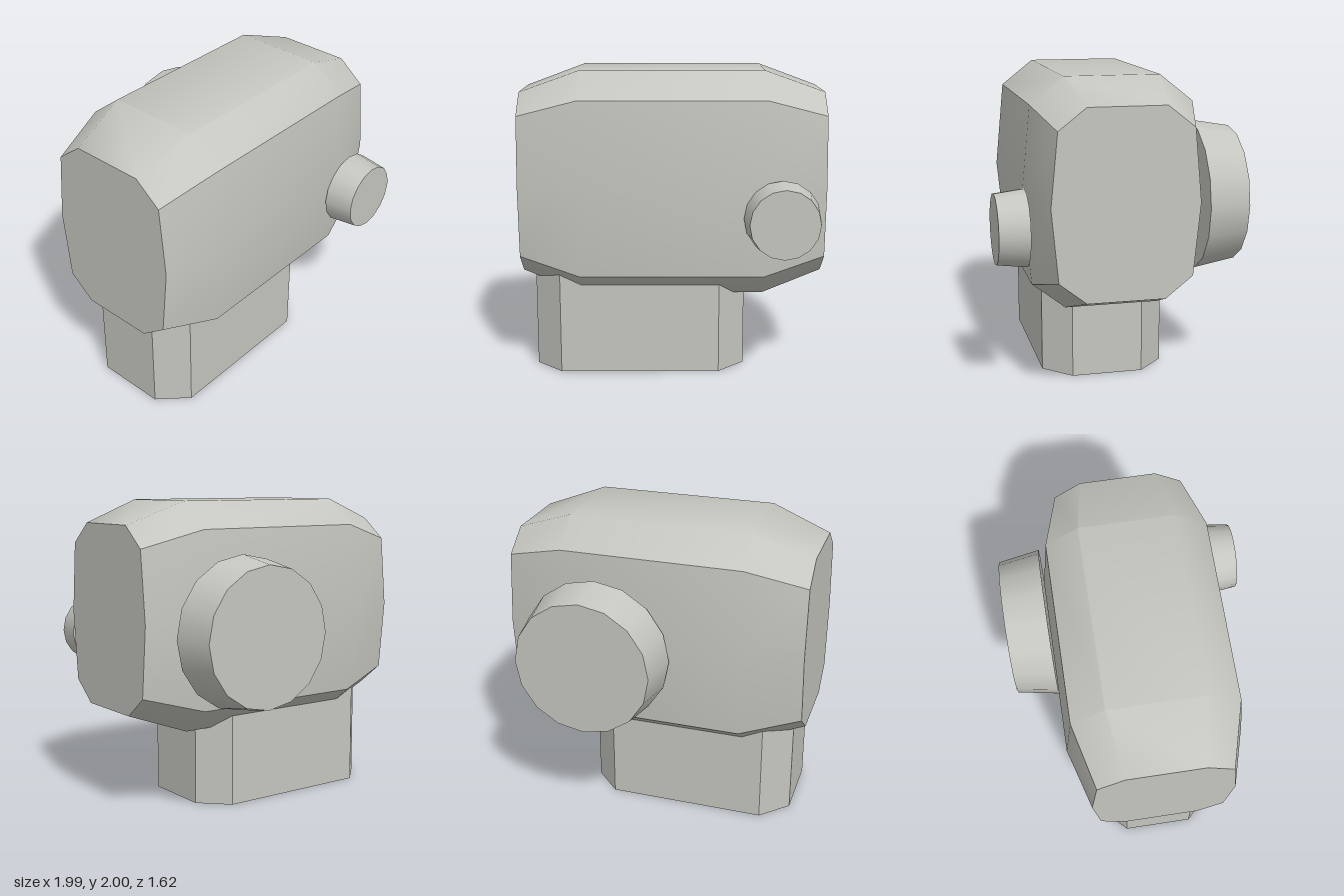
import * as THREE from 'three';
import { toCreasedNormals } from 'three/addons/utils/BufferGeometryUtils.js';

const grey = new THREE.MeshStandardMaterial({ color: 0xc6c6c0 });
grey.name = 'light grey';

function addPart(group, name, geometry, x = 0, y = 0, z = 0) {
  const mesh = new THREE.Mesh(geometry, grey);
  mesh.name = name;
  mesh.position.set(x, y, z);
  group.add(mesh);
}

// Ten-sided section lofted along x, smaller at both ends, with flat caps
function bodyGeometry() {
  const quarter = [[0.305, 0.74], [0.52, 0.57], [0.575, 0]];
  const front = [...quarter, [0.52, -0.57], [0.305, -0.74]];
  const profile = [...front, ...front.map(([z, y]) => [-z, -y])];
  const n = profile.length;
  const stations = [[-0.995, 0.806], [-0.6, 1], [0.6, 1], [0.995, 0.806]];
  const positions = [];
  const index = [];
  for (const [x, s] of stations) {
    for (const [z, y] of profile) positions.push(x, y * s, z * s);
  }
  for (let i = 0; i < stations.length - 1; i++) {
    for (let j = 0; j < n; j++) {
      const a = i * n + j, c = i * n + (j + 1) % n;
      index.push(a, c, a + n, c, c + n, a + n);
    }
  }
  const last = (stations.length - 1) * n;
  for (let j = 1; j < n - 1; j++) {
    index.push(0, j + 1, j, last, last + j, last + j + 1);
  }
  const geometry = new THREE.BufferGeometry();
  geometry.setAttribute('position', new THREE.Float32BufferAttribute(positions, 3));
  geometry.setIndex(index);
  return toCreasedNormals(geometry, 0.735);
}

// Upright block with chamfered vertical corners
function baseGeometry(width, depth, height, chamfer) {
  const w = width / 2, d = depth / 2, c = chamfer;
  const shape = new THREE.Shape([
    [w - c, -d], [w, -d + c], [w, d - c], [w - c, d],
    [-w + c, d], [-w, d - c], [-w, -d + c], [-w + c, -d],
  ].map(([x, y]) => new THREE.Vector2(x, y)));
  return new THREE.ExtrudeGeometry(shape, { depth: height, bevelEnabled: false }).rotateX(-Math.PI / 2);
}

// Tapered round knob pointing along z (direction 1 = front, -1 = back)
function knobGeometry(tip, root, length, direction) {
  return new THREE.CylinderGeometry(tip, root, length, 16).rotateX(direction * Math.PI / 2);
}

export function createModel() {
  const group = new THREE.Group();
  group.name = 'model';
  addPart(group, 'body', bodyGeometry(), 0, 1.26, 0.045);
  addPart(group, 'base', baseGeometry(1.4, 0.82, 0.75, 0.175), -0.215, 0, 0.045);
  addPart(group, 'frontKnob', knobGeometry(0.222, 0.245, 0.19, 1), 0.7, 1.087, 0.713);
  addPart(group, 'backKnob', knobGeometry(0.45, 0.497, 0.275, -1), 0.35, 1.175, -0.672);
  return group;
}
